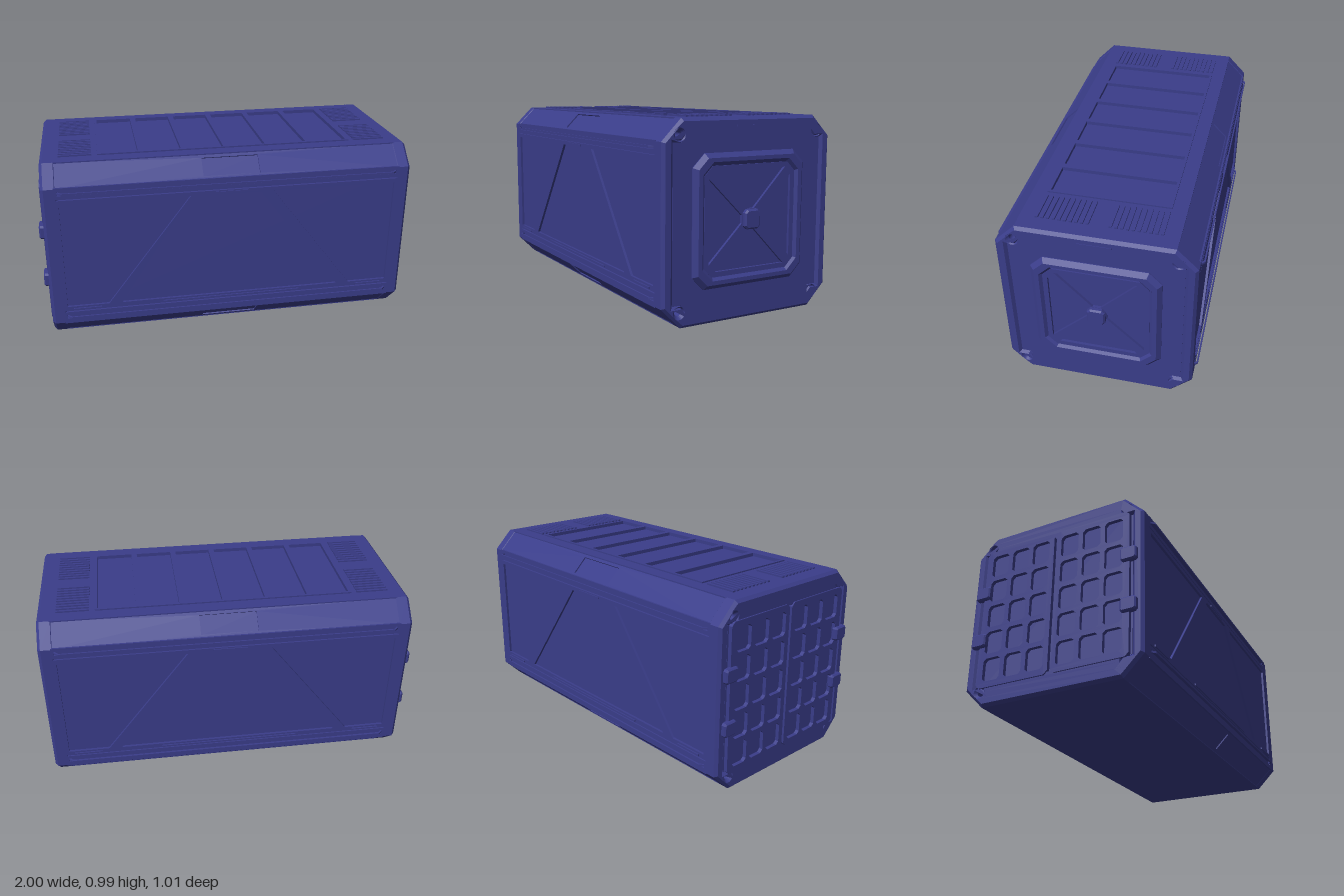
import * as THREE from 'three';

const material = new THREE.MeshStandardMaterial({ color: 0x3a3d8a, flatShading: true });
const MID = 0.49; // mid height of the container

// closed outline from [x, y] pairs
const outline = (pts) => new THREE.Shape(pts.map(([x, y]) => new THREE.Vector2(x, y)));

// rectangle with corners cut by c
function cutRect(x0, x1, y0, y1, c = 0) {
  if (!c) return outline([[x0, y0], [x1, y0], [x1, y1], [x0, y1]]);
  return outline([[x0 + c, y0], [x1 - c, y0], [x1, y0 + c], [x1, y1 - c],
    [x1 - c, y1], [x0 + c, y1], [x0, y1 - c], [x0, y0 + c]]);
}

// plate from z0 to z1, with holes and optional bevel
function plate(parent, name, shape, z0, z1, holes = [], bevel = 0) {
  shape.holes.push(...holes);
  const geo = new THREE.ExtrudeGeometry(shape, {
    depth: z1 - z0 - 2 * bevel, bevelEnabled: bevel > 0, bevelSegments: 1,
    bevelThickness: bevel, bevelSize: bevel, bevelOffset: -bevel,
  });
  geo.translate(0, 0, z0 + bevel);
  const mesh = new THREE.Mesh(geo, material);
  mesh.name = name;
  parent.add(mesh);
  return mesh;
}

function box(parent, name, w, h, d, x, y, z) {
  const mesh = new THREE.Mesh(new THREE.BoxGeometry(w, h, d), material);
  mesh.name = name;
  mesh.position.set(x, y, z);
  parent.add(mesh);
  return mesh;
}

function group(parent, name) {
  const g = new THREE.Group();
  g.name = name;
  parent.add(g);
  return g;
}

// long side: truss panels, strips, rails, ledges and sloped edges, facing +z
function addLongSide(root, name) {
  const side = group(root, name);
  const panels = [
    outline([[-0.89, 0.2], [-0.67, 0.2], [-0.22, 0.79], [-0.89, 0.79]]),
    outline([[-0.6, 0.2], [0.6, 0.2], [0.15, 0.79], [-0.15, 0.79]]),
    outline([[0.67, 0.2], [0.89, 0.2], [0.89, 0.79], [0.22, 0.79]]),
  ];
  plate(side, 'sidePanel', cutRect(-0.91, 0.91, 0.174, 0.812), 0.47, 0.49, panels);
  for (const [y0, y1, rail] of [[0.818, 0.88, 0.85], [0.1, 0.168, 0.14]]) {
    plate(side, 'sideStrip', cutRect(-0.91, 0.91, y0, y1), 0.47, 0.49,
      [cutRect(-0.895, 0.895, rail - 0.012, rail + 0.012)]);
    // slim rail bent in at both ends
    const bar = plate(side, 'sideRail', outline([[-0.895, 0.475], [-0.87, 0.499], [0.87, 0.499],
      [0.895, 0.475], [0.9, 0.483], [0.875, 0.507], [-0.875, 0.507], [-0.9, 0.483]]), -0.005, 0.005);
    bar.rotation.x = Math.PI / 2;
    bar.position.y = rail;
  }
  box(side, 'lowerLedge', 0.76, 0.01, 0.02, 0, 0.185, 0.487);
  box(side, 'upperLedge', 0.18, 0.01, 0.02, 0, 0.801, 0.485);
  for (const s of [-1, 1]) {
    box(side, 'cornerLedge', 0.15, 0.01, 0.02, s * 0.785, 0.185, 0.487);
    // sloped edge with a shallow centre inset
    const edge = group(side, s > 0 ? 'upperSlope' : 'lowerSlope');
    edge.position.set(0, MID + s * 0.4375, 0.4375);
    edge.rotation.x = -s * Math.PI / 4;
    plate(edge, 'slopePlate', cutRect(-0.91, 0.91, -0.0735, 0.0735), -0.017, -0.003,
      [cutRect(-0.15, 0.15, -0.052, 0.052)]);
    box(edge, 'slopeInset', 0.31, 0.11, 0.006, 0, 0, -0.013);
  }
  return side;
}

// octagonal end frame with corner holes and recessed floor, facing local +z
function addEndFrame(root, name) {
  const end = group(root, name);
  const recess = () => outline([
    [-0.34, 0.06], [0.34, 0.06], [0.385, 0.11], [0.43, 0.11], [0.43, 0.87], [0.385, 0.87],
    [0.34, 0.92], [-0.34, 0.92], [-0.385, 0.87], [-0.43, 0.87], [-0.43, 0.11], [-0.385, 0.11]]);
  const holes = [recess()];
  for (const x of [-0.4, 0.4]) for (const y of [0.078, 0.905]) {
    const hole = new THREE.Path();
    hole.absarc(x, y, 0.017, 0, Math.PI * 2);
    holes.push(hole);
  }
  const frame = plate(end, 'endFrame', cutRect(-0.49, 0.49, 0, 0.98, 0.105), 0.89, 0.975, holes, 0.015);
  frame.geometry.computeVertexNormals();
  plate(end, 'endFloor', recess(), 0.9, 0.962);
  return end;
}

// closed end: raised collar, cross braces and hub
function addBracedEnd(root) {
  const end = addEndFrame(root, 'bracedEnd');
  plate(end, 'raisedCollar', cutRect(-0.325, 0.325, 0.168, 0.815, 0.065), 0.94, 0.988,
    [cutRect(-0.258, 0.258, 0.232, 0.752, 0.045)], 0.022);
  const brace = group(end, 'crossBraces');
  brace.position.y = MID;
  const wedges = [0, 1, 2, 3].map((i) => {
    const a = i * Math.PI / 2, c = Math.cos(a), s = Math.sin(a);
    return outline([[-0.205, 0.24], [0.205, 0.24], [0.02, 0.05], [-0.02, 0.05]]
      .map(([x, y]) => [x * c - y * s, x * s + y * c]));
  });
  plate(brace, 'crossPlate', cutRect(-0.265, 0.265, -0.265, 0.265, 0.045), 0.95, 0.976, wedges);
  plate(brace, 'hub', cutRect(-0.046, 0.046, -0.048, 0.048, 0.016), 0.96, 1.0, [], 0.008);
  box(end, 'endSlot', 0.17, 0.008, 0.008, 0, 0.938, 0.974);
  end.rotation.y = Math.PI / 2;
}

// opening end: two ribbed doors with hinges
function addDoorEnd(root) {
  const end = addEndFrame(root, 'doorEnd');
  for (const s of [-1, 1]) {
    const cells = [];
    for (let col = 0; col < 3; col++) for (let row = 0; row < 5; row++) {
      const x = s * (0.085 + col * 0.125), y = MID + (row - 2) * 0.15;
      cells.push(cutRect(x - 0.05, x + 0.05, y - 0.062, y + 0.062, 0.015));
    }
    const x0 = s > 0 ? 0.008 : -0.42, x1 = s > 0 ? 0.42 : -0.008;
    plate(end, 'ribbedDoor', cutRect(x0, x1, 0.095, 0.885, 0.02), 0.955, 0.982, cells);
    for (const y of [0.355, 0.63]) {
      plate(end, 'hinge', cutRect(s * 0.42 - 0.042, s * 0.42 + 0.042, y - 0.037, y + 0.037, 0.01),
        0.965, 1.0, [], 0.007);
    }
  }
  end.rotation.y = -Math.PI / 2;
}

// roof with six sunken panels and four slatted vents
function addRoof(root) {
  const roof = group(root, 'roof');
  roof.rotation.x = -Math.PI / 2;
  plate(roof, 'roofSkin', cutRect(-0.91, 0.91, -0.387, 0.387), 0.96, 0.98,
    [cutRect(-0.68, 0.68, -0.312, 0.312)]);
  const panels = [];
  for (let i = 0; i < 6; i++) {
    const x = (i - 2.5) * 0.227;
    panels.push(cutRect(x - 0.098, x + 0.098, -0.298, 0.298));
  }
  plate(roof, 'roofPanelFrame', cutRect(-0.68, 0.68, -0.312, 0.312), 0.96, 0.987, panels);
  for (const sx of [-1, 1]) for (const sz of [-1, 1]) for (let i = 0; i < 10; i++) {
    box(roof, 'ventSlat', 0.17, 0.014, 0.012, sx * 0.795, sz * (0.055 + i * 0.0275), 0.982);
  }
}

export function createModel() {
  const root = new THREE.Group();
  root.name = 'cargoContainer';

  // inner core, stepped at the corners to keep the corner holes open
  box(root, 'coreWide', 1.86, 0.75, 0.954, 0, MID, 0);
  box(root, 'coreTall', 1.86, 0.948, 0.74, 0, 0.494, 0);
  box(root, 'floor', 1.82, 0.03, 0.772, 0, 0.015, 0);

  addLongSide(root, 'frontSide');
  addLongSide(root, 'backSide').rotation.y = Math.PI;
  addRoof(root);
  addBracedEnd(root);
  addDoorEnd(root);
  return root;
}
